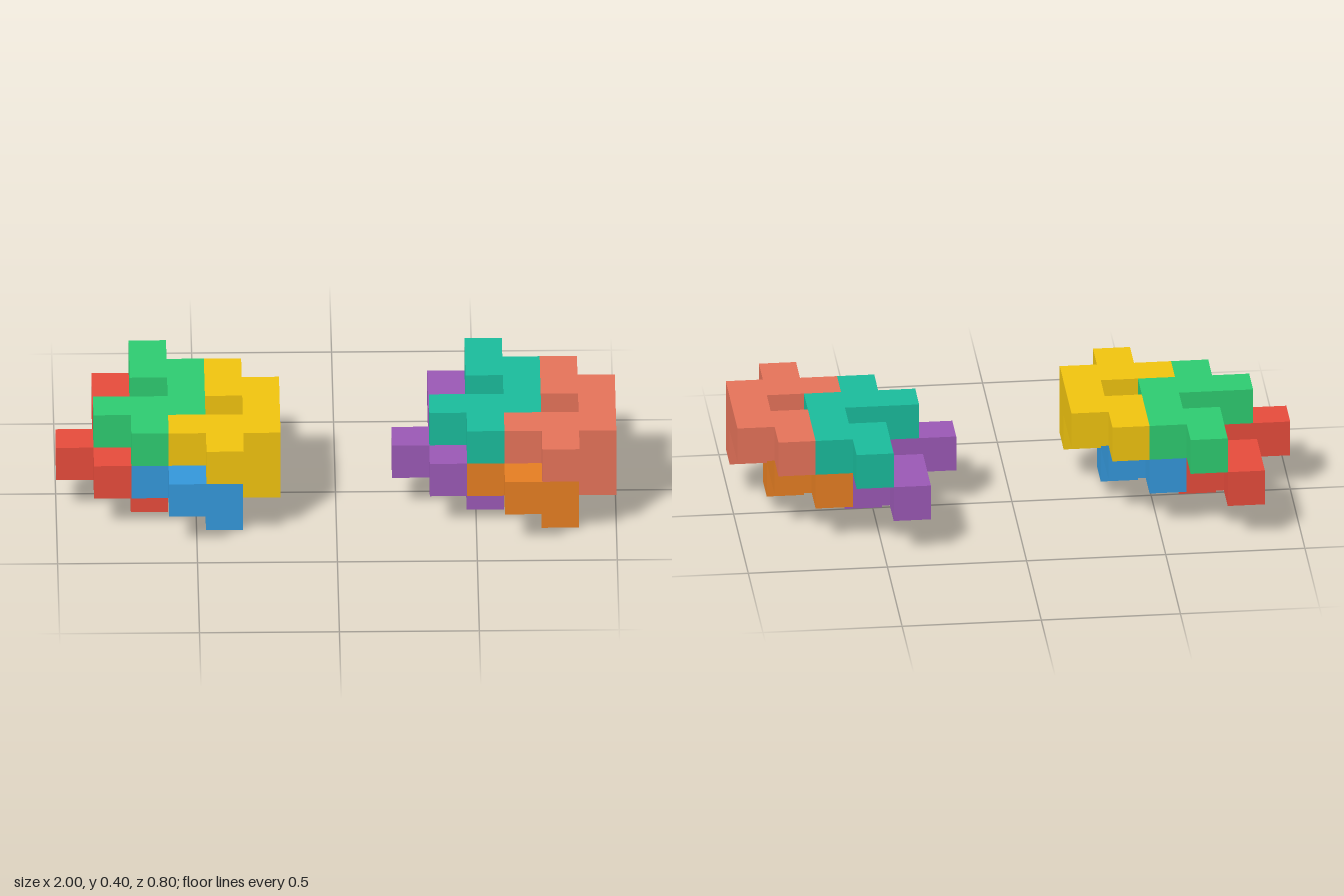
import * as THREE from 'three';
import { mergeGeometries } from 'three/addons/utils/BufferGeometryUtils.js';

const U = 2 / 15; // edge of one cube cell

// Two interlocking piece shapes, as [column, row] cells of a flat slab plus one peg cell below
const HOOK = { cells: [[2, 0], [2, 1], [3, 1], [3, 2], [1, 3], [2, 3], [3, 3], [2, 4]], peg: [3, 3] };
const CLAW = { cells: [[4, 1], [4, 2], [5, 2], [5, 3], [3, 4], [4, 4], [5, 4], [4, 5]], peg: [5, 4] };

// Rotations turning a +z facing square towards each of the six directions
const FACES = [
  { dir: [0, 0, 1], rot: [0, 0, 0] },
  { dir: [0, 0, -1], rot: [0, Math.PI, 0] },
  { dir: [1, 0, 0], rot: [0, Math.PI / 2, 0] },
  { dir: [-1, 0, 0], rot: [0, -Math.PI / 2, 0] },
  { dir: [0, 1, 0], rot: [-Math.PI / 2, 0, 0] },
  { dir: [0, -1, 0], rot: [Math.PI / 2, 0, 0] },
];

// Joins cubes into one solid, leaving out the squares between neighbouring cubes
function cubeSolid(cells) {
  const filled = new Set(cells.map((c) => c.join()));
  const squares = [];
  for (const [x, y, z] of cells) {
    for (const { dir: [dx, dy, dz], rot } of FACES) {
      if (filled.has([x + dx, y + dy, z + dz].join())) continue;
      const square = new THREE.PlaneGeometry(U, U).translate(0, 0, U / 2);
      square.rotateX(rot[0]).rotateY(rot[1]);
      square.translate((x + 0.5) * U, (y + 0.5) * U, (z + 0.5) * U);
      squares.push(square);
    }
  }
  return mergeGeometries(squares);
}

// A piece with its slab on the given layer and its peg one layer lower
function makePiece(name, shape, layer, shift, color) {
  const cells = shape.cells.map(([c, r]) => [c + shift, layer, r]);
  cells.push([shape.peg[0] + shift, layer - 1, shape.peg[1]]);
  const mesh = new THREE.Mesh(cubeSolid(cells), new THREE.MeshStandardMaterial({ color }));
  mesh.name = name;
  return mesh;
}

// Four pieces: an upper pair and the same pair one cell lower and to the side
function makeCluster(name, x, colors) {
  const cluster = new THREE.Group();
  cluster.name = name;
  cluster.add(
    makePiece('upperHook', HOOK, 2, 0, colors[0]),
    makePiece('upperClaw', CLAW, 2, 0, colors[1]),
    makePiece('lowerHook', HOOK, 1, -1, colors[2]),
    makePiece('lowerClaw', CLAW, 1, -1, colors[3]),
  );
  cluster.position.set(x, 0, -3 * U);
  return cluster;
}

export function createModel() {
  const model = new THREE.Group();
  model.name = 'interlockingCubePuzzle';
  model.add(
    makeCluster('rightCluster', -1, [0x2ecc71, 0xf1c40f, 0xe74c3c, 0x3498db]),
    makeCluster('leftCluster', 0.2, [0x1abc9c, 0xe6735a, 0x9b59b6, 0xe67e22]),
  );
  return model;
}
